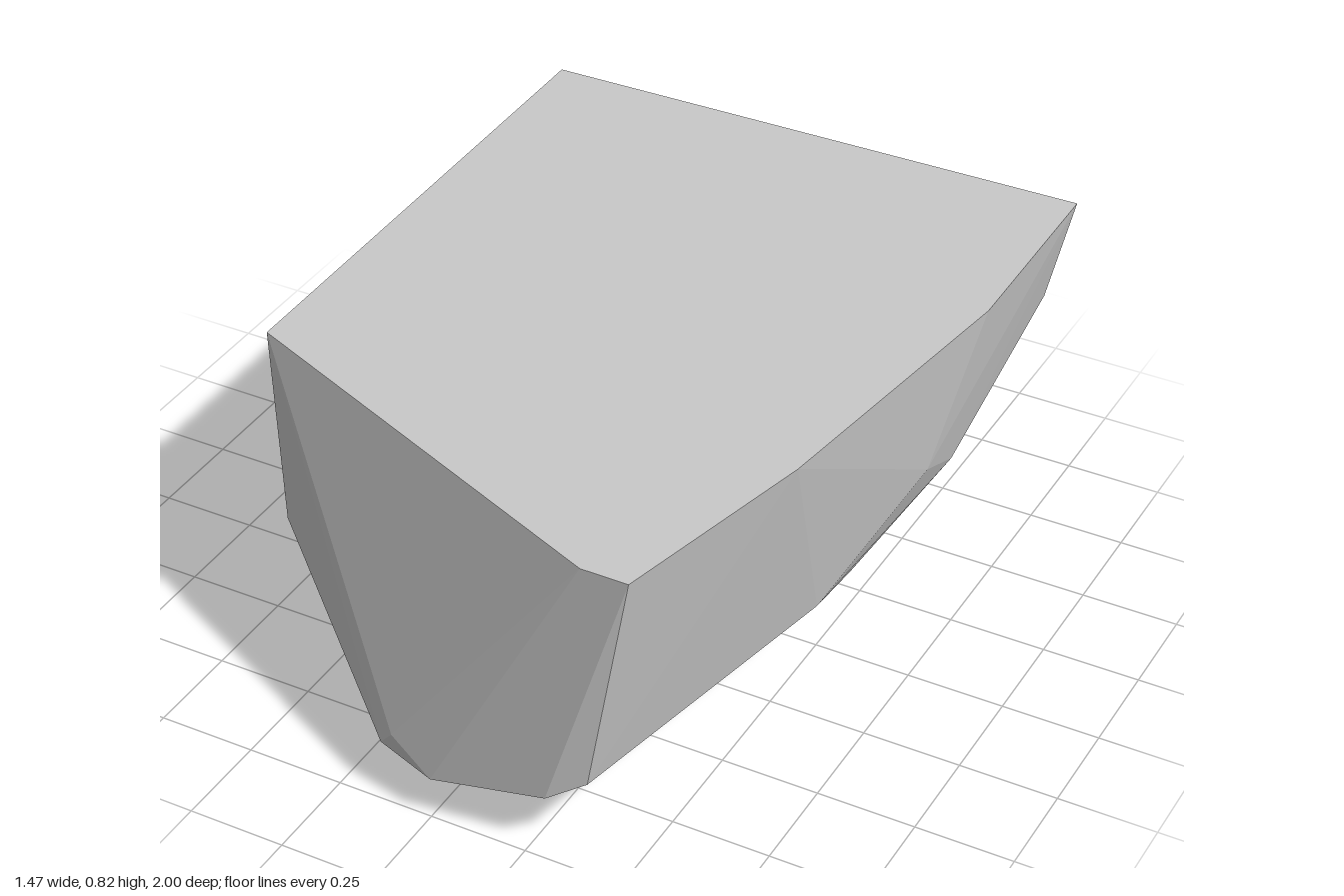
import * as THREE from 'three';
import { ConvexGeometry } from 'three/addons/geometries/ConvexGeometry.js';

export function createModel() {
  const group = new THREE.Group();
  group.name = 'rock';
  const stone = new THREE.MeshStandardMaterial({ color: 0xc8c8c8, flatShading: true });
  stone.name = 'stoneGrey';

  const top = 0.825;
  // flat top outline, as x and z
  const topRim = [[-0.735, -0.935], [0.736, -0.4], [0.626, 0.4], [0.497, 0.955], [0.377, 0.955], [-0.725, 0.5]]
    .map(([x, z]) => [x, top, z]);
  // flat back outline, as x and y
  const backRim = [[-0.738, 0.76], [-0.732, 0.46], [-0.637, 0.3], [-0.37, 0.175], [0.088, 0.15],
    [0.352, 0.195], [0.522, 0.3], [0.645, 0.5]].map(([x, y]) => [x, y, -1]);
  const backCorner = [[0.723, 0.812, -0.975]];
  // blunt front nose and its left and right corners
  const nose = [[-0.12, 0.175, 0.97], [0, 0.112, 1], [-0.18, 0.098, 0.925], [0.292, 0.157, 0.978],
    [0.377, 0.198, 0.932], [-0.665, 0.157, 0.447], [-0.725, 0.26, 0.467]];
  // rounded flanks
  const flanks = [[0.665, 0.43, -0.25], [0.622, 0.293, -0.5], [0.562, 0.235, 0.135],
    [0.53, 0.157, -0.12], [0.518, 0.187, -0.63], [-0.632, 0.175, -0.25]];
  // shallow belly
  const belly = [[0.31, 0.057, 0], [0.13, 0.012, -0.3], [0.006, 0.048, -0.63], [-0.18, 0, -0.25],
    [-0.47, 0.072, -0.02], [-0.38, 0.155, -0.86]];

  const points = [...topRim, ...backRim, ...backCorner, ...nose, ...flanks, ...belly]
    .map((p) => new THREE.Vector3(...p));
  const boulder = new THREE.Mesh(new ConvexGeometry(points), stone);
  boulder.name = 'boulder';
  group.add(boulder);
  return group;
}
